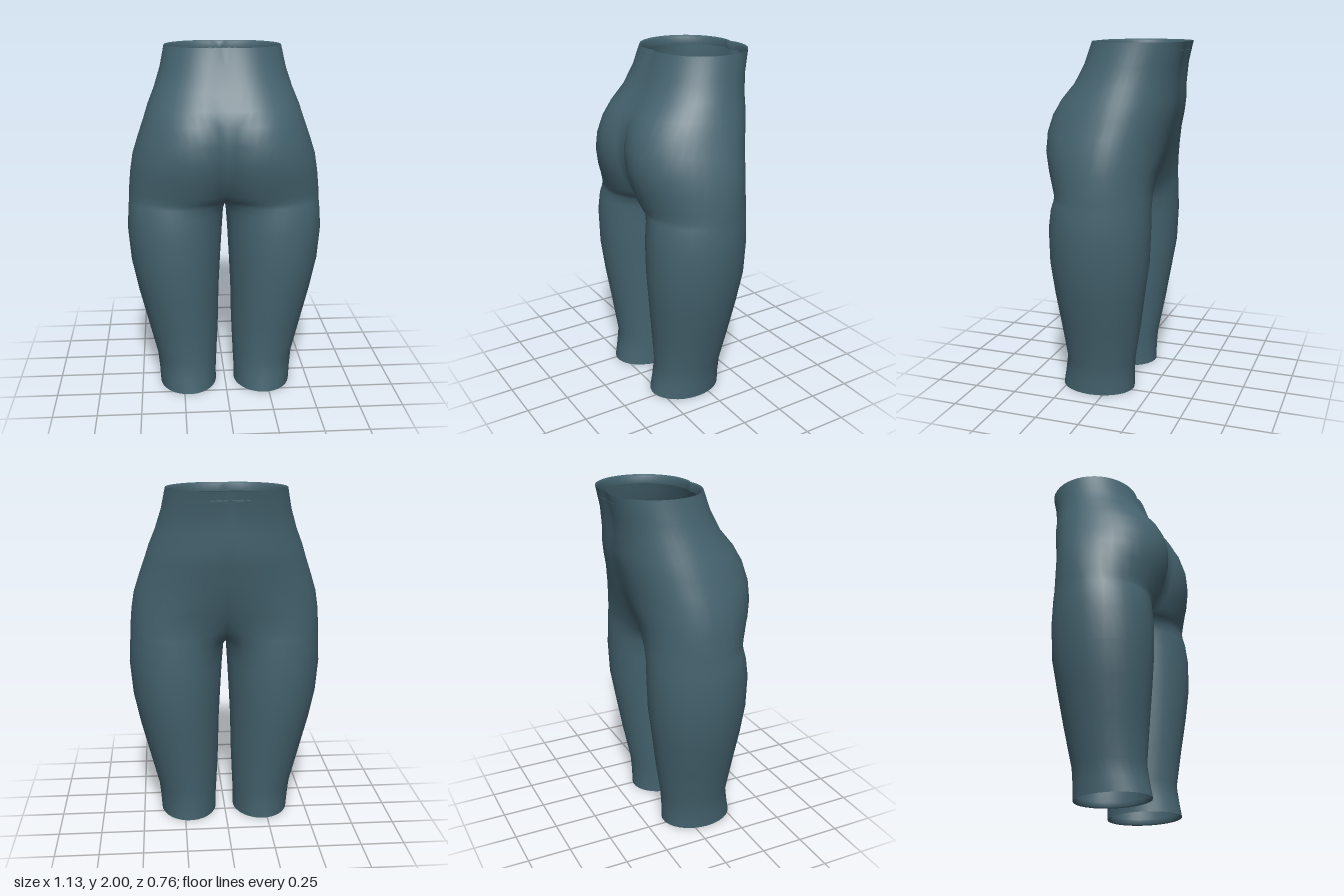
import * as THREE from 'three';
import { mergeVertices } from 'three/addons/utils/BufferGeometryUtils.js';

const HALF = 13;   // steps from a centre seam to the outer side
const INNER = 8;   // steps across the inner leg
const SEAM = Math.asin(0.42);

// Leg levels: y, inner x, outer x, z of the widest point, front z, back z
const legs = [
  [0, 0.055, 0.39, 0.075, 0.29, -0.14],
  [0.08, 0.055, 0.395, 0.07, 0.275, -0.14],
  [0.18, 0.05, 0.405, 0.06, 0.26, -0.146],
  [0.4, 0.04, 0.46, 0.055, 0.285, -0.185],
  [0.6, 0.036, 0.51, 0.05, 0.31, -0.215],
  [0.78, 0.027, 0.547, 0.05, 0.328, -0.243],
  [0.97, 0.016, 0.563, 0.05, 0.33, -0.25],
  [1.08, 0.008, 0.557, 0.04, 0.318, -0.248],
];

// Torso levels: y, outer x, z of the widest point,
// then for front and back: x of the fullest point, its z, z at the centre seam
const torso = [
  [1.13, 0.553, 0.035, 0.26, 0.308, 0.12, 0.28, -0.247, -0.09],
  [1.16, 0.551, 0.03, 0.22, 0.315, 0.19, 0.275, -0.246, -0.13],
  [1.2, 0.55, 0.025, 0.2, 0.328, 0.235, 0.265, -0.245, -0.17],
  [1.3, 0.541, 0.01, 0.18, 0.362, 0.29, 0.22, -0.256, -0.228],
  [1.4, 0.525, 0, 0.17, 0.382, 0.32, 0.14, -0.28, -0.268],
  [1.5, 0.493, -0.01, 0.16, 0.38, 0.33, 0.1, -0.3, -0.295],
  [1.6, 0.458, -0.025, 0.145, 0.352, 0.32, 0.08, -0.325, -0.32],
  [1.68, 0.432, -0.04, 0.12, 0.31, 0.297, 0.07, -0.338, -0.334],
  [1.77, 0.395, -0.06, 0.09, 0.24, 0.236, 0.07, -0.34, -0.336],
  [1.88, 0.36, -0.09, 0.07, 0.187, 0.183, 0.07, -0.352, -0.346],
  [2, 0.335, -0.115, 0.06, 0.148, 0.138, 0.07, -0.38, -0.368],
];

// One half section, running front seam -> outer side -> back seam
function outerLine(y, xOut, z0, front, back) {
  const side = ({ cx, inR, z, start }, k) => {
    const a = start + (Math.PI - start) * k, c = Math.cos(a);
    return new THREE.Vector3(c > 0 ? cx - inR * c : cx - (xOut - cx) * c, y, z0 + (z - z0) * Math.sin(a));
  };
  const line = [];
  for (let i = 0; i <= HALF; i++) line.push(side(front, i / HALF));
  for (let i = HALF - 1; i >= 0; i--) line.push(side(back, i / HALF));
  return line;
}

function legRing([y, xIn, xOut, z0, zF, zB]) {
  const cx = (xIn + xOut) / 2, inR = cx - xIn;
  const line = outerLine(y, xOut, z0, { cx, inR, z: zF, start: SEAM }, { cx, inR, z: zB, start: SEAM });
  for (let i = 1; i <= INNER; i++) {
    const a = SEAM * (2 * i / INNER - 1);
    line.push(new THREE.Vector3(cx - inR * Math.cos(a), y, z0 + (a > 0 ? zF - z0 : z0 - zB) * Math.sin(a)));
  }
  return line;
}

function torsoLine([y, xOut, z0, cF, zF, sF, cB, zB, sB]) {
  const half = (cx, z, seam) => {
    const start = Math.asin((seam - z0) / (z - z0));
    return { cx, z, start, inR: cx / Math.cos(start) };
  };
  return outerLine(y, xOut, z0, half(cF, zF, sF), half(cB, zB, sB));
}

// Skin a stack of lines and mirror it across x = 0
function loft(stacks) {
  const pos = [];
  const tri = (a, b, c) => {
    for (const p of [a, b, c]) pos.push(p.x, p.y, p.z);
    for (const p of [a, c, b]) pos.push(-p.x, p.y, p.z);
  };
  for (const rows of stacks) {
    for (let j = 0; j + 1 < rows.length; j++) {
      const lo = rows[j], hi = rows[j + 1];
      for (let i = 0; i + 1 < lo.length; i++) {
        tri(lo[i], lo[i + 1], hi[i + 1]);
        tri(lo[i], hi[i + 1], hi[i]);
      }
    }
  }
  const g = new THREE.BufferGeometry();
  g.setAttribute('position', new THREE.Float32BufferAttribute(pos, 3));
  const merged = mergeVertices(g, 1e-4);
  merged.computeVertexNormals();
  return merged;
}

// Turned-in hem: the edge line shrunk towards a centre and shifted in height
function hem(line, cx, cz, scale, dy) {
  return line.map(p => new THREE.Vector3(cx + (p.x - cx) * scale, p.y + dy, cz + (p.z - cz) * scale));
}

export function createModel() {
  const group = new THREE.Group();
  group.name = 'leggings';
  const fabric = new THREE.MeshStandardMaterial({ color: 0x45636f, side: THREE.DoubleSide });
  fabric.name = 'slate blue fabric';
  const add = (name, geometry) => {
    const mesh = new THREE.Mesh(geometry, fabric);
    mesh.name = name;
    group.add(mesh);
  };

  const legRows = legs.map(legRing);
  const torsoRows = torso.map(torsoLine);

  // Crotch: the lowest torso line closed along the centre plane
  const crotch = torsoRows[0].slice();
  const zBack = crotch[crotch.length - 1].z, zFront = crotch[0].z;
  for (let i = 1; i <= INNER; i++) {
    crotch.push(new THREE.Vector3(0, torso[0][0], zBack + (zFront - zBack) * i / INNER));
  }

  // Legs, seat and hips as one smooth skin
  add('body', loft([[...legRows, crotch], torsoRows]));

  // Waist hem
  const top = torsoRows[torsoRows.length - 1];
  add('waistHem', loft([[top, hem(top, 0, -0.115, 0.95, -0.012), hem(top, 0, -0.115, 0.96, -0.05)]]));

  // Leg hems
  const cuff = [...legRows[0]];
  add('legHems', loft([[hem(cuff, 0.222, 0.075, 0.95, 0.03), hem(cuff, 0.222, 0.075, 0.95, 0.008), cuff]]));

  return group;
}
